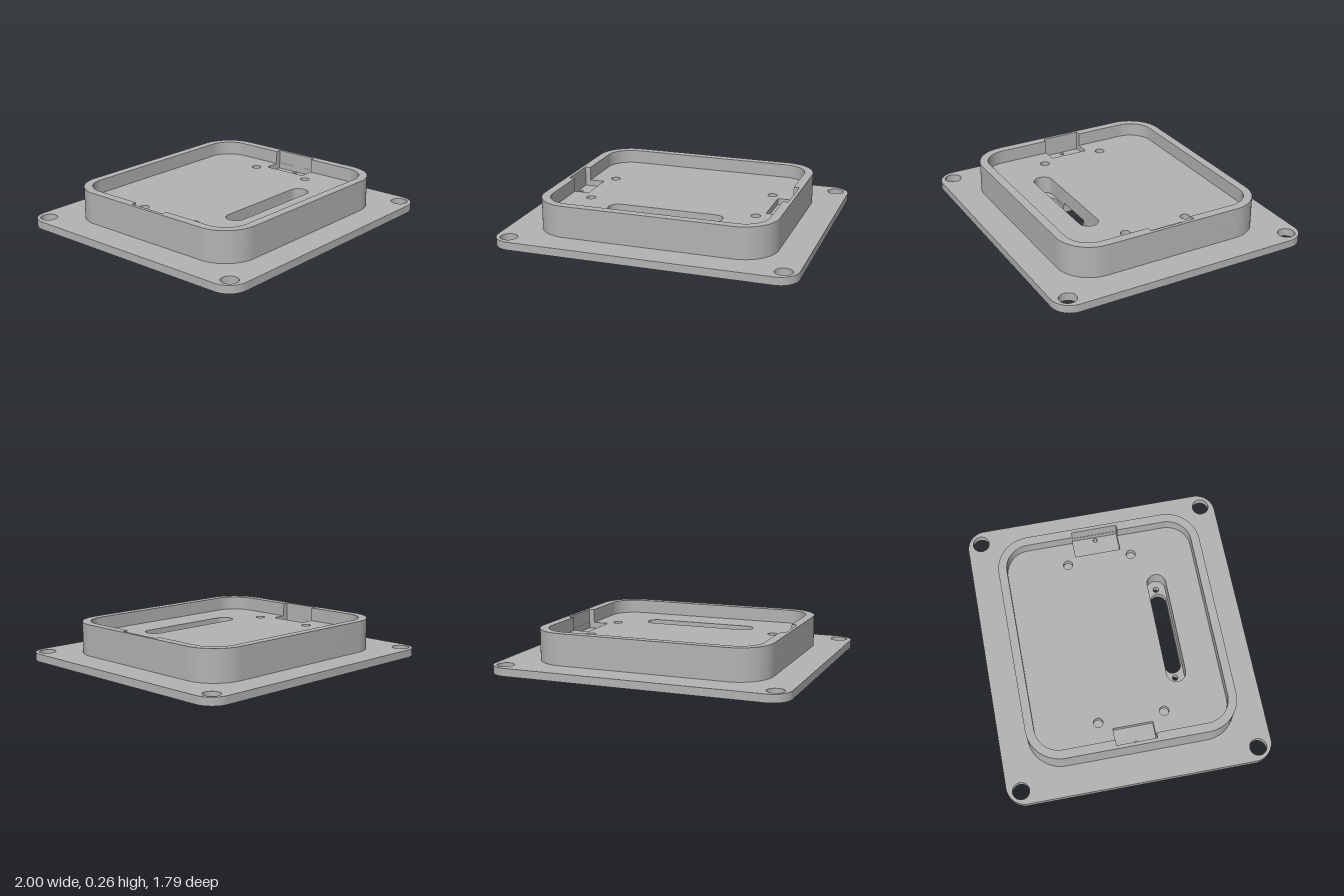
import * as THREE from 'three';
import { toCreasedNormals } from 'three/addons/utils/BufferGeometryUtils.js';

const HALF = Math.PI / 2;

// Plan-view outlines: shape coordinates are (x, z)
function roundedRect(w, d, r, notches = null) {
  const s = new THREE.Shape();
  s.moveTo(-w + r, -d);
  s.lineTo(w - r, -d);
  s.absarc(w - r, -d + r, r, -HALF, 0);
  if (notches) {
    const n = notches.right;
    s.lineTo(w, n[0]); s.lineTo(notches.x, n[0]);
    s.lineTo(notches.x, n[1]); s.lineTo(w, n[1]);
  }
  s.lineTo(w, d - r);
  s.absarc(w - r, d - r, r, 0, HALF);
  s.lineTo(-w + r, d);
  s.absarc(-w + r, d - r, r, HALF, Math.PI);
  if (notches) {
    const n = notches.left;
    s.lineTo(-w, n[1]); s.lineTo(-notches.x, n[1]);
    s.lineTo(-notches.x, n[0]); s.lineTo(-w, n[0]);
  }
  s.lineTo(-w, -d + r);
  s.absarc(-w + r, -d + r, r, Math.PI, 3 * HALF);
  return s;
}

function polygon(points) {
  return new THREE.Path(points.map(([x, z]) => new THREE.Vector2(x, z)));
}

function rect(x0, x1, z0, z1) {
  return polygon([[x0, z0], [x1, z0], [x1, z1], [x0, z1]]);
}

function circle(x, z, r) {
  return new THREE.Path().absarc(x, z, r, 0, Math.PI * 2);
}

function stadium(c, z, r) {
  const p = new THREE.Path();
  p.moveTo(-c, z - r);
  p.lineTo(c, z - r);
  p.absarc(c, z, r, -HALF, HALF);
  p.lineTo(-c, z + r);
  p.absarc(-c, z, r, HALF, 3 * HALF);
  return p;
}

// Underside pocket joined to the cable slot by a channel
function pocketWithSlot(c, z, r) {
  const p = new THREE.Path();
  p.moveTo(-0.46, -0.45);
  p.lineTo(0.46, -0.45);
  p.lineTo(0.46, 0.06);
  p.lineTo(0.14, 0.06);
  p.lineTo(0.14, z - r);
  p.lineTo(c, z - r);
  p.absarc(c, z, r, -HALF, HALF);
  p.lineTo(-c, z + r);
  p.absarc(-c, z, r, HALF, 3 * HALF);
  p.lineTo(-0.14, z - r);
  p.lineTo(-0.14, 0.06);
  p.lineTo(-0.46, 0.06);
  return p;
}

export function createModel() {
  const group = new THREE.Group();
  group.name = 'mountingPlate';
  const grey = new THREE.MeshStandardMaterial({ color: 0xb3b3b3 });
  grey.name = 'grey';

  // One horizontal slab from y0 to y1
  function slab(name, outline, holes, y0, y1) {
    outline.holes.push(...holes);
    let g = new THREE.ExtrudeGeometry(outline, { depth: y1 - y0, bevelEnabled: false, curveSegments: 20 });
    g.rotateX(HALF);
    g.translate(0, y1, 0);
    g = toCreasedNormals(g, 0.5);
    const mesh = new THREE.Mesh(g, grey);
    mesh.name = name;
    group.add(mesh);
  }

  const sides = [-1, 1];
  const corners = sides.flatMap((a) => sides.map((b) => [a, b]));
  const body = () => roundedRect(0.797, 0.703, 0.23);
  const pins = () => sides.map((s) => circle(s * 0.75, 0, 0.015));
  const slotRecess = () => stadium(0.33, 0.355, 0.065);

  // Base flange with corner holes, slot and slot screw holes
  slab('baseFlange', roundedRect(1, 0.895, 0.13), [
    ...corners.map(([a, b]) => circle(a * 0.907, b * 0.8, 0.057)),
    ...sides.map((s) => circle(s * 0.33, 0.355, 0.019)),
    ...pins(),
    pocketWithSlot(0.24, 0.355, 0.055),
  ], 0, 0.053);

  // Body above the flange: channel, then pocket, then solid
  slab('channelLayer', body(), [pocketWithSlot(0.33, 0.355, 0.065), ...pins()], 0.053, 0.07);
  slab('pocketLayer', body(), [rect(-0.46, 0.46, -0.45, 0.06), slotRecess(), ...pins()], 0.07, 0.1);
  slab('coreLayer', body(), [slotRecess(), ...pins()], 0.1, 0.13);

  // Tray floor with blind screw holes and side recesses
  slab('trayFloor', body(), [
    slotRecess(),
    ...corners.map(([a, b]) => circle(a * 0.578, b * 0.222, 0.032)),
    rect(-0.775, -0.635, -0.135, 0.135),
    rect(0.63, 0.772, -0.16, 0.155),
  ], 0.13, 0.172);

  // Raised rim, notched on its inner sides
  slab('rim', body(), [
    roundedRect(0.737, 0.645, 0.165, { x: 0.774, left: [-0.135, 0.135], right: [-0.16, 0.155] }),
  ], 0.172, 0.265);

  return group;
}
